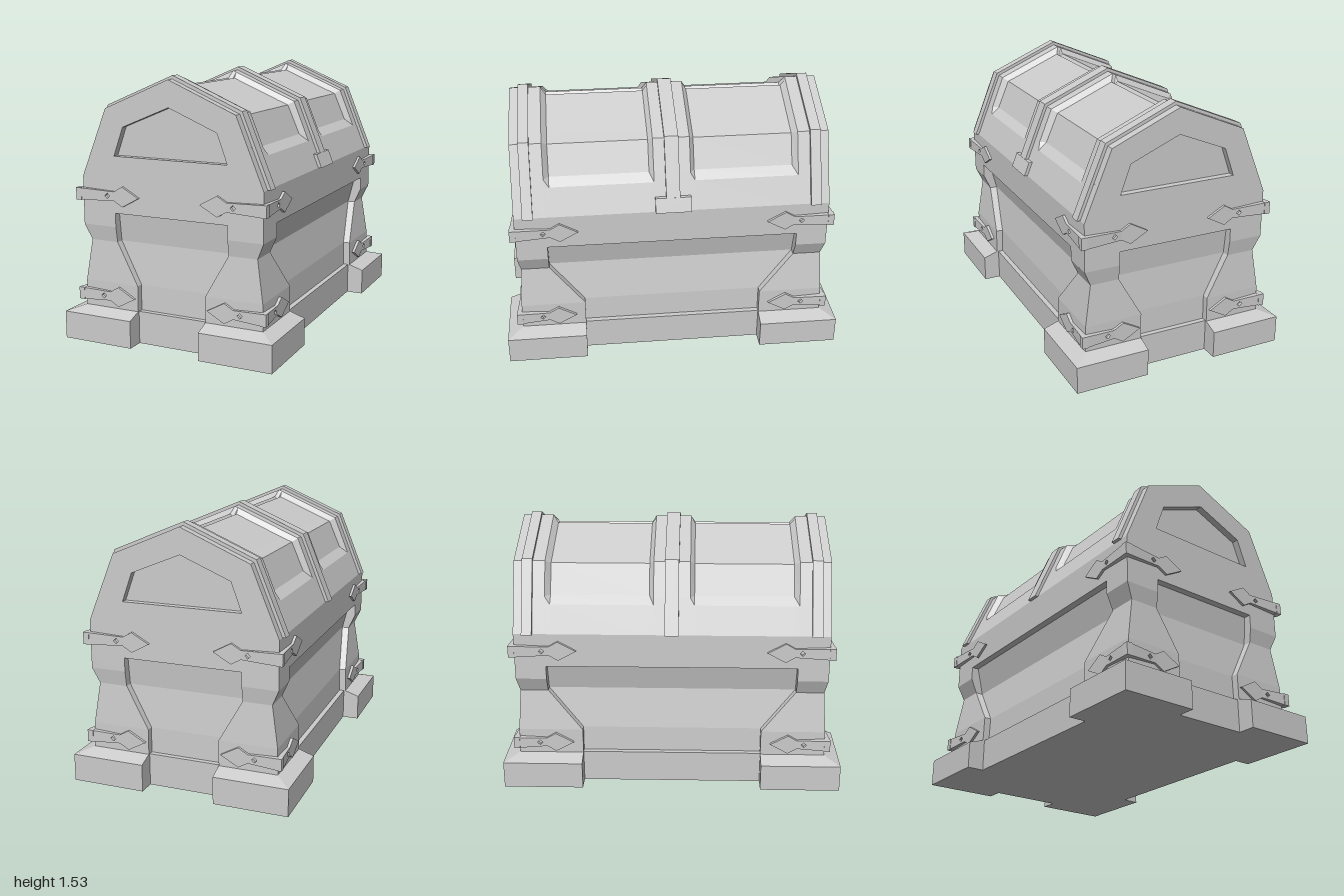
import * as THREE from 'three';

const mat = new THREE.MeshStandardMaterial({ color: 0xcccccc, flatShading: true });

// Skin closed rings of points (counter-clockwise about the loft direction) and cap both ends
function loft(rings) {
  const out = [];
  const tri = (a, b, c) => out.push(...a, ...b, ...c);
  const n = rings[0].length;
  for (let k = 0; k < rings.length - 1; k++) {
    for (let i = 0; i < n; i++) {
      const j = (i + 1) % n, lo = rings[k], hi = rings[k + 1];
      tri(lo[i], lo[j], hi[j]);
      tri(lo[i], hi[j], hi[i]);
    }
  }
  const first = rings[0], last = rings[rings.length - 1];
  for (let i = 1; i < n - 1; i++) {
    tri(first[0], first[i + 1], first[i]);
    tri(last[0], last[i], last[i + 1]);
  }
  const geo = new THREE.BufferGeometry();
  geo.setAttribute('position', new THREE.Float32BufferAttribute(out, 3));
  geo.computeVertexNormals();
  return geo;
}

// Rectangular horizontal ring
const rect = (y, x0, x1, z0, z1) => [[x0, y, z1], [x1, y, z1], [x1, y, z0], [x0, y, z0]];

// Copy a geometry with flipped axes, keeping faces outward
function mirrored(geo, sx, sz) {
  const g = geo.index ? geo.toNonIndexed() : geo.clone();
  const p = g.attributes.position;
  for (let i = 0; i < p.count; i++) p.setXYZ(i, p.getX(i) * sx, p.getY(i), p.getZ(i) * sz);
  if (sx * sz < 0) {
    const a = p.array;
    for (let i = 0; i < a.length; i += 9) {
      for (let k = 0; k < 3; k++) [a[i + 3 + k], a[i + 6 + k]] = [a[i + 6 + k], a[i + 3 + k]];
    }
  }
  g.computeVertexNormals();
  return g;
}

const toShape = pts => new THREE.Shape(pts.map(p => new THREE.Vector2(...p)));
const mirrorProfile = half => [...half, ...half.slice(0, -1).reverse().map(([x, y]) => [-x, y])];

// Flat outline extruded along z from z0 to z1
function slab(shape, z0, z1) {
  return new THREE.ExtrudeGeometry(shape, { depth: z1 - z0, bevelEnabled: false }).translate(0, 0, z0);
}

// Arrow-headed bracket arm: u runs from the corner to the tip, thicker at the corner
function arm(tip) {
  const neck = tip - 0.16, wide = tip - 0.105;
  const shape = toShape([[0, -0.035], [neck, -0.026], [wide, -0.058], [tip, 0],
    [wide, 0.058], [neck, 0.026], [0, 0.035]]);
  const u = tip - 0.2, r = 0.016;
  shape.holes.push(new THREE.Path([[u - r, 0], [u, r], [u + r, 0], [u, -r]].map(p => new THREE.Vector2(...p))));
  const geo = slab(shape, 0, 1);
  const p = geo.attributes.position;
  for (let i = 0; i < p.count; i++) {
    const t = Math.min(1, p.getX(i) / neck);
    p.setZ(i, p.getZ(i) > 0.5 ? 0.03 - 0.015 * t : -0.005);
  }
  return geo.toNonIndexed();
}

export function createModel() {
  const model = new THREE.Group();
  const add = (name, geo, parent = model) => {
    const mesh = new THREE.Mesh(geo, mat);
    mesh.name = name;
    parent.add(mesh);
    return mesh;
  };

  // Base and recessed inner walls
  add('base', loft([0, 0.19].map(y => rect(y, -0.55, 0.55, -0.9, 0.9))));
  add('innerWalls', loft([[0.18, 0.52, 0.87], [0.34, 0.515, 0.868], [0.58, 0.475, 0.85], [0.76, 0.52, 0.87]]
    .map(([y, x, z]) => rect(y, -x, x, -z, z))));
  add('upperWalls', loft([0.75, 0.95].map(y => rect(y, -0.56, 0.56, -0.91, 0.91))));

  // Corner feet, pillars and brackets
  const foot = loft([[0, 0.65, 1], [0.16, 0.65, 1], [0.19, 0.56, 0.91]]
    .map(([y, x, z]) => rect(y, 0.215, x, 0.53, z)));
  const pillar = loft([
    [0.19, 0.215, 0.56, 0.53, 0.91], [0.34, 0.215, 0.557, 0.53, 0.909],
    [0.58, 0.35, 0.52, 0.73, 0.895], [0.67, 0.35, 0.56, 0.73, 0.91],
    [0.75, 0.35, 0.56, 0.73, 0.91]].map(r => rect(...r)));
  const brackets = [];
  for (const [y, frontTip, sideTip] of [[0.85, 0.4, 0.39], [0.263, 0.36, 0.355]]) {
    brackets.push(mirrored(arm(frontTip), -1, 1).translate(0.59, y, 0.91));
    brackets.push(arm(sideTip).rotateY(Math.PI / 2).translate(0.56, y, 0.94));
  }
  for (const sx of [1, -1]) {
    for (const sz of [1, -1]) {
      const corner = new THREE.Group();
      corner.name = (sz > 0 ? 'front' : 'back') + (sx > 0 ? 'Left' : 'Right') + 'Corner';
      add('foot', mirrored(foot, sx, sz), corner);
      add('pillar', mirrored(pillar, sx, sz), corner);
      for (const b of brackets) add('bracketArm', mirrored(b, sx, sz), corner);
      model.add(corner);
    }
  }

  // Lid with two sunken, bevelled bays; the sunken profile has grooves at its folds
  const raised = mirrorProfile([[0.56, 0.95], [0.495, 1.108], [0.478, 1.15], [0.4, 1.34],
    [0.32, 1.374], [0.02, 1.5015], [0, 1.51]]);
  const sunken = mirrorProfile([[0.56, 0.95], [0.495, 1.108], [0.445, 1.15], [0.371, 1.32],
    [0.31, 1.344], [0.02, 1.467], [0, 1.445]]);
  const stations = [[-0.87, 0], [-0.73, 0], [-0.7, 1], [-0.13, 1], [-0.105, 0],
    [0.105, 0], [0.13, 1], [0.7, 1], [0.73, 0], [0.87, 0]];
  add('lid', loft(stations.map(([z, low]) => (low ? sunken : raised).map(([x, y]) => [x, y, z]))));

  // Gable plates with a cut-out panel
  const gable = toShape(mirrorProfile([[0.56, 0.95], [0.4, 1.34], [0, 1.51]]));
  gable.holes.push(new THREE.Path(mirrorProfile([[0.35, 1.075], [0.29, 1.24], [0, 1.36]])
    .map(p => new THREE.Vector2(...p))));
  add('frontGable', slab(gable, 0.87, 0.91));
  add('backGable', slab(gable, -0.91, -0.87));

  // Straps over the lid
  const strap = toShape([
    ...mirrorProfile([[0.58, 0.95], [0.413, 1.355], [0, 1.53]]),
    ...mirrorProfile([[0.55, 0.95], [0.39, 1.335], [0, 1.5]]).reverse()]);
  add('frontStrap', slab(strap, 0.8, 0.86));
  add('middleStrap', slab(strap, -0.04, 0.04));
  add('backStrap', slab(strap, -0.86, -0.8));
  add('strapEnd', slab(toShape([[0.54, 0.95], [0.58, 0.95], [0.548, 1.03], [0.51, 1.03]]), -0.103, 0.103));

  return model;
}
